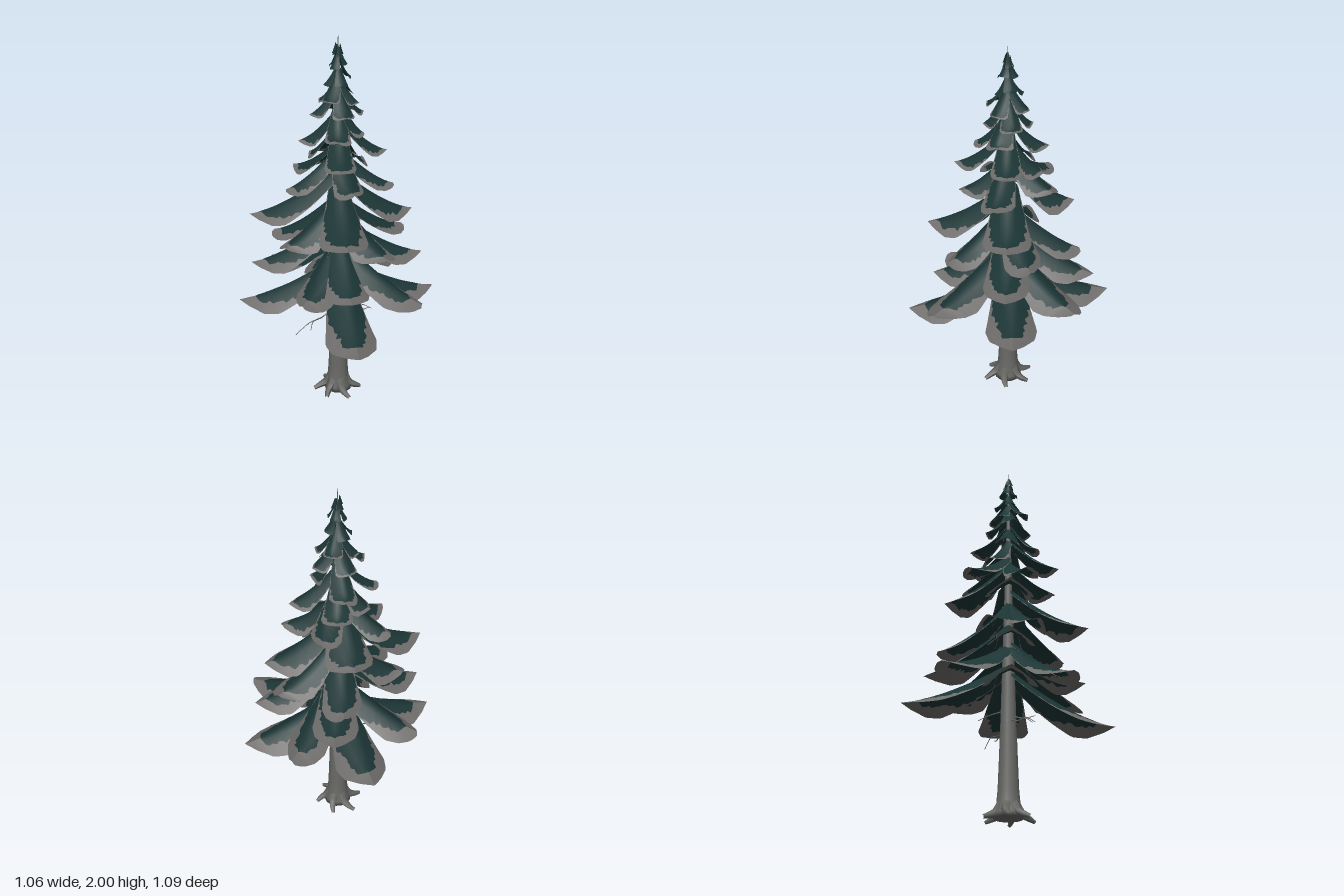
import * as THREE from 'three';

const mat = (name, color, side = THREE.FrontSide) => {
  const m = new THREE.MeshStandardMaterial({ color, side });
  m.name = name;
  return m;
};

function seeded(seed) {
  return () => {
    seed = (seed * 16807) % 2147483647;
    return seed / 2147483647;
  };
}

// Piecewise linear lookup in a list of [t, value] points
function lookup(points, t) {
  for (let i = 1; i < points.length; i++) {
    const [t0, a] = points[i - 1], [t1, b] = points[i];
    if (t <= t1) return a + (b - a) * (t - t0) / (t1 - t0);
  }
  return points[points.length - 1][1];
}

const POINTED = [[0, 0.42], [0.3, 0.72], [0.62, 1], [0.76, 0.86], [0.9, 0.42], [1, 0.01]];
const BLUNT = [[0, 0.42], [0.3, 0.75], [0.66, 1], [0.8, 0.85], [0.92, 0.55], [1, 0.2]];

// Tent-like drooping leaf: green middle (group 0), grey rim (group 1)
function boughGeometry({ reach, tipY, rise, width, margin, blunt, skew }, rand) {
  const rows = 30, cols = 7, pos = [], green = [], grey = [];
  const outline = blunt ? BLUNT : POINTED;
  const rim = [[0, 0.97], [0.35, 0.96], [0.62, 1 - margin], [0.8, 0.9 - margin], [1 - margin * 0.35, 0.01], [1, 0.01]];
  for (let i = 0; i <= rows; i++) {
    const t = i / rows;
    const w = width * lookup(outline, t);
    const base = lookup(rim, t);
    for (let j = 0; j < cols; j++) {
      const side = Math.sign(j - 3);
      const k = Math.abs(j - 3);
      const f = base > 0.02 ? THREE.MathUtils.clamp(base + (rand() - 0.5) * 0.18, 0.05, 0.97) : base;
      const v = side * (k === 3 ? 1 : k === 2 ? f : base * 0.45);
      const r = 0.012 + t * (reach - 0.012) + skew * v * t * t * w;
      const drop = w * (0.4 + 0.6 * (1 - t));
      const y = tipY + rise * Math.pow(1 - t, 1.5) - drop * Math.pow(Math.abs(v), 1.25);
      pos.push(v * w, y, r);
    }
  }
  for (let i = 0; i < rows; i++) {
    for (let j = 0; j < cols - 1; j++) {
      const a = i * cols + j, b = a + 1, c = a + cols, d = c + 1;
      const onRim = j === 0 || j === cols - 2 || lookup(rim, (i + 0.5) / rows) < 0.02;
      (margin > 0 && onRim ? grey : green).push(a, c, b, b, c, d);
    }
  }
  const g = new THREE.BufferGeometry();
  g.setAttribute('position', new THREE.Float32BufferAttribute(pos, 3));
  g.setIndex([...green, ...grey]);
  g.addGroup(0, green.length, 0);
  if (grey.length) g.addGroup(green.length, grey.length, 1);
  g.computeVertexNormals();
  return g;
}

// Tube along points, tapering from r0 to r1
function taperedTube(points, r0, r1, sides = 6) {
  const n = 10;
  const curve = new THREE.CatmullRomCurve3(points.map(p => new THREE.Vector3(...p)));
  const g = new THREE.TubeGeometry(curve, n, r0, sides);
  const p = g.attributes.position, v = new THREE.Vector3();
  for (let i = 0; i < p.count; i++) {
    const t = Math.floor(i / (sides + 1)) / n;
    const c = curve.getPointAt(t);
    v.fromBufferAttribute(p, i).sub(c).multiplyScalar(1 + (r1 / r0 - 1) * t).add(c);
    p.setXYZ(i, v.x, v.y, v.z);
  }
  g.computeVertexNormals();
  return g;
}

export function createModel() {
  const tree = new THREE.Group();
  tree.name = 'coniferTree';
  const bark = mat('bark grey', 0x686865);
  const needles = mat('needle green', 0x1c3535, THREE.DoubleSide);
  const rimGrey = mat('rim grey', 0x6d6b69, THREE.DoubleSide);
  const rand = seeded(4217);
  const add = (name, geometry, material, parent = tree) => {
    const m = new THREE.Mesh(geometry, material);
    m.name = name;
    parent.add(m);
    return m;
  };

  // Trunk, flared at the foot and running up to a thin spike
  const profile = [[0, 0.015], [0.075, 0.015], [0.07, 0.04], [0.06, 0.08], [0.053, 0.16], [0.047, 0.32],
    [0.041, 0.5], [0.034, 0.75], [0.022, 1.2], [0.012, 1.6], [0.004, 1.9], [0.001, 2]];
  add('trunk', new THREE.LatheGeometry(profile.map(p => new THREE.Vector2(...p)), 14), bark);

  // Roots
  const roots = new THREE.Group();
  roots.name = 'roots';
  tree.add(roots);
  for (let i = 0; i < 6; i++) {
    const a = i / 6 * Math.PI * 2 + 0.25 + (rand() - 0.5) * 0.3;
    const len = 0.12 + rand() * 0.025;
    const at = (r, y, turn = 0) => [Math.sin(a + turn) * r, y, Math.cos(a + turn) * r];
    add('root', taperedTube([at(0.035, 0.08), at(0.065, 0.042), at(0.095, 0.026, 0.08), at(len, 0.01, 0.2)], 0.03, 0.01), bark, roots);
  }

  // Bare twigs below the boughs
  const twigs = new THREE.Group();
  twigs.name = 'twigs';
  tree.add(twigs);
  const twigPaths = [
    [[0.03, 0.51, -0.01], [0.1, 0.47, -0.04], [0.15, 0.475, -0.08], [0.21, 0.43, -0.11]],
    [[0.1, 0.47, -0.04], [0.15, 0.46, -0.05], [0.19, 0.47, -0.06]],
    [[0.02, 0.57, -0.03], [0.05, 0.56, -0.09], [0.08, 0.54, -0.15]],
    [[-0.03, 0.51, 0.01], [-0.1, 0.48, 0.04], [-0.17, 0.47, 0.07], [-0.25, 0.42, 0.1]],
    [[-0.1, 0.48, 0.04], [-0.15, 0.48, 0.08], [-0.17, 0.45, 0.12]],
    [[-0.02, 0.53, 0.02], [-0.06, 0.51, 0.08], [-0.07, 0.52, 0.13]],
  ];
  for (const path of twigPaths) add('twig', taperedTube(path, 0.004, 0.0015, 5), bark, twigs);

  // Bough tiers: tips are [x, y, z]
  const tiers = [
    { name: 'lowestBoughs', rise: 0.22, width: 0.135, margin: 0.46,
      tips: [[0.53, 0.6, -0.01], [-0.53, 0.6, -0.02], [0.01, 0.5, 0.545], [0, 0.6, -0.545]] },
    { name: 'secondBoughs', rise: 0.23, width: 0.115, margin: 0.42, blunt: true,
      tips: [[0.36, 0.7, 0.395], [0.37, 0.7, -0.33], [-0.32, 0.7, -0.34], [-0.24, 0.7, 0.31]] },
    { name: 'thirdBoughs', rise: 0.23, width: 0.12, margin: 0.4,
      tips: [[0.45, 0.83, 0.03], [-0.46, 0.82, -0.01], [0.18, 0.82, -0.44], [0, 0.73, 0.4]] },
    { name: 'fourthBoughs', rise: 0.23, width: 0.105, margin: 0.32, blunt: true,
      tips: [[0.36, 0.95, -0.1], [0.2, 0.92, 0.31], [-0.3, 0.95, 0.14], [-0.32, 0.95, -0.13], [0.1, 0.93, -0.37]] },
    { name: 'fifthBoughs', rise: 0.23, width: 0.125, margin: 0.32,
      tips: [[0.39, 1.08, 0.02], [-0.46, 1.09, -0.02], [-0.03, 1.03, 0.42], [0.03, 1.18, -0.34]] },
    { name: 'sixthBoughs', rise: 0.18, width: 0.085, margin: 0.28, blunt: true,
      tips: [[0.27, 1.25, 0.08], [-0.28, 1.25, 0.08], [-0.2, 1.28, -0.22], [0.17, 1.3, -0.22], [0.04, 1.25, 0.24]] },
    { name: 'seventhBoughs', rise: 0.18, width: 0.08, margin: 0.24,
      tips: [[0.25, 1.41, 0.02], [-0.13, 1.38, -0.12], [-0.03, 1.38, 0.27], [0.07, 1.36, -0.18]] },
    { name: 'eighthBoughs', rise: 0.16, width: 0.068, margin: 0.2, blunt: true,
      tips: [[-0.2, 1.47, -0.02], [0.03, 1.49, -0.2], [0.12, 1.52, 0.06], [-0.03, 1.5, 0.16]] },
  ];

  // Small crown tiers, each turned against the one below
  const crown = [[1.6, 0.15], [1.69, 0.125], [1.775, 0.08], [1.845, 0.055], [1.9, 0.032]];
  crown.forEach(([y, reach], i) => {
    const tips = [0, 1, 2, 3].map(k => {
      const a = k * Math.PI / 2 + i * 0.8 + 0.15;
      const r = reach * (0.8 + rand() * 0.25);
      return [Math.sin(a) * r, y + (rand() - 0.5) * 0.04, Math.cos(a) * r];
    });
    tiers.push({ name: 'crownBoughs' + (i + 1), rise: 0.03 + reach * 0.7, width: 0.01 + reach * 0.32, margin: i < 2 ? 0.15 : 0, tips });
  });

  for (const { name, tips, rise, width, margin, blunt = false } of tiers) {
    const tier = new THREE.Group();
    tier.name = name;
    tree.add(tier);
    tips.forEach(([x, tipY, z], i) => {
      const g = boughGeometry({
        reach: Math.hypot(x, z), tipY, width, margin, blunt,
        rise: tipY === 0.5 ? rise + 0.07 : rise,
        skew: blunt ? (i % 2 ? 0.5 : -0.5) : 0,
      }, rand);
      add('bough', g, [needles, rimGrey], tier).rotation.y = Math.atan2(x, z);
    });
  }
  return tree;
}
